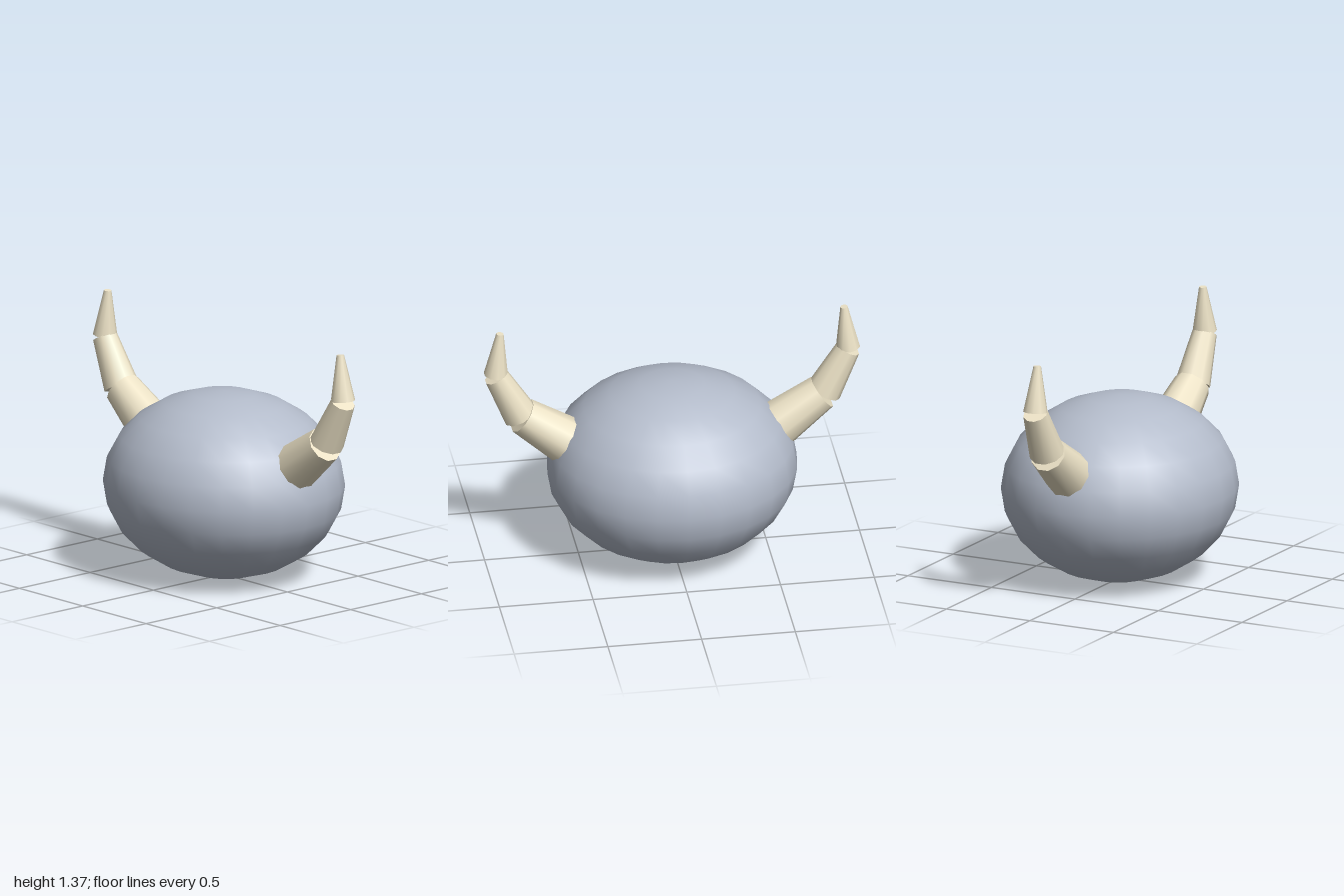
import * as THREE from 'three';

const bodyMaterial = new THREE.MeshStandardMaterial({ color: 0xb4bccb });
const hornMaterial = new THREE.MeshStandardMaterial({ color: 0xece2c6 });

// Each horn section: base point, tip point, base radius, tip radius
const sections = [
  { name: 'hornBase', from: [0.533, 0.67], to: [0.799, 0.864], r0: 0.133, r1: 0.099 },
  { name: 'hornMiddle', from: [0.81, 0.872], to: [0.939, 1.117], r0: 0.094, r1: 0.066 },
  { name: 'hornTip', from: [0.939, 1.127], to: [0.918, 1.372], r0: 0.065, r1: 0.02 },
];

// Tapered ten-sided section running between two points in the x-y plane
function hornSection({ name, from, to, r0, r1 }, side) {
  const dx = (to[0] - from[0]) * side;
  const dy = to[1] - from[1];
  const geometry = new THREE.CylinderGeometry(r1, r0, Math.hypot(dx, dy), 10);
  const mesh = new THREE.Mesh(geometry, hornMaterial);
  mesh.name = name;
  mesh.position.set(side * (from[0] + to[0]) / 2, (from[1] + to[1]) / 2, 0);
  mesh.rotation.z = -Math.atan2(dx, dy);
  return mesh;
}

export function createModel() {
  const model = new THREE.Group();
  model.name = 'hornedBall';

  // Flattened round body
  const body = new THREE.Mesh(new THREE.SphereGeometry(1, 24, 12), bodyMaterial);
  body.name = 'body';
  body.scale.set(0.665, 0.5, 0.617);
  body.position.y = 0.502;
  model.add(body);

  // Mirrored pair of curved horns
  for (const side of [1, -1]) {
    const horn = new THREE.Group();
    horn.name = side > 0 ? 'leftHorn' : 'rightHorn';
    for (const section of sections) horn.add(hornSection(section, side));
    model.add(horn);
  }
  return model;
}
